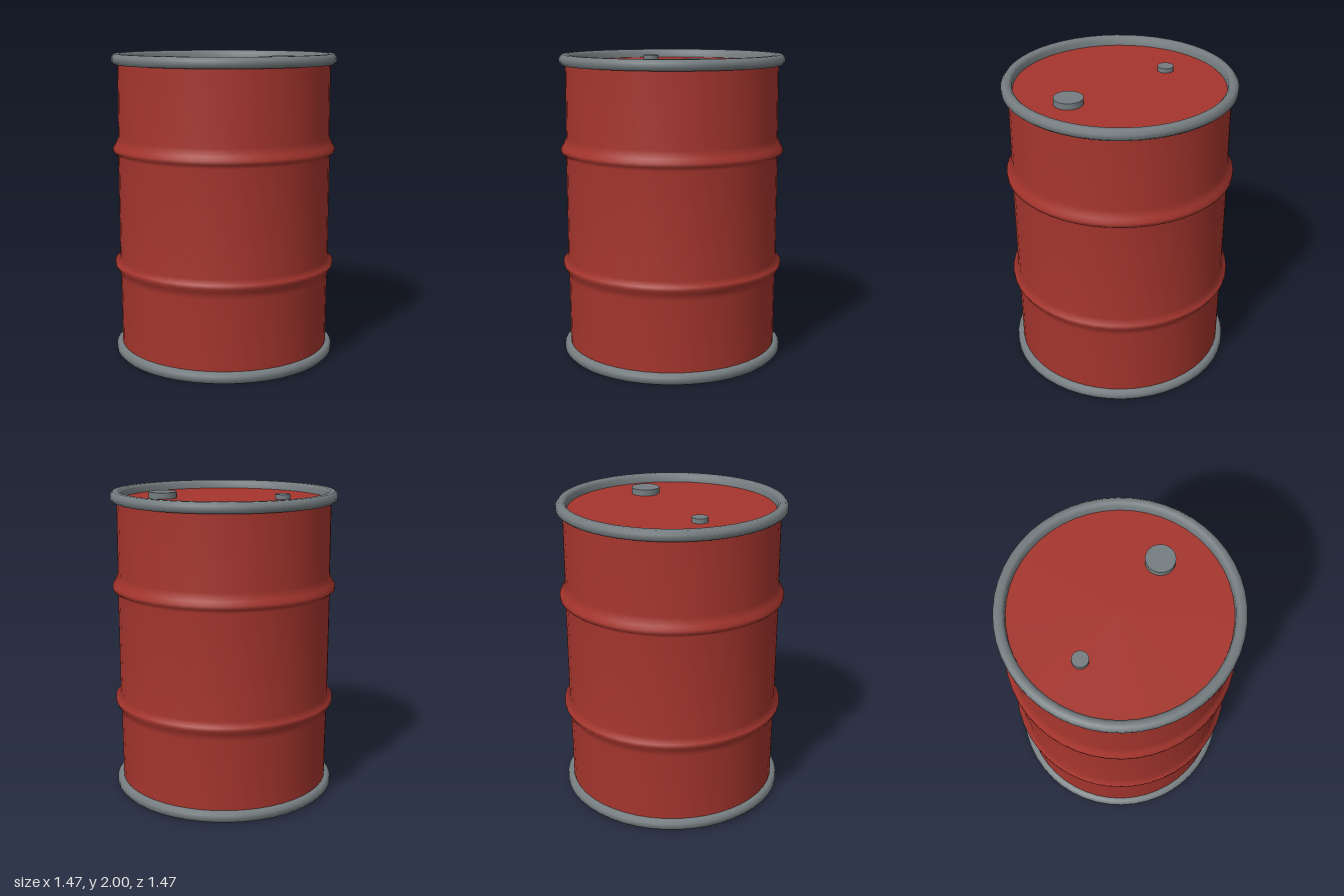
import * as THREE from 'three';

const SEGMENTS = 48;
const red = new THREE.MeshStandardMaterial({ color: 0xa5352d });
const steel = new THREE.MeshStandardMaterial({ color: 0x757d80 });

function add(parent, name, geometry, material, x = 0, y = 0, z = 0) {
  const mesh = new THREE.Mesh(geometry, material);
  mesh.name = name;
  mesh.position.set(x, y, z);
  parent.add(mesh);
  return mesh;
}

const lathe = (profile) =>
  new THREE.LatheGeometry(profile.map(([r, y]) => new THREE.Vector2(r, y)), SEGMENTS);

// Reflects a profile about mid height, keeping its faces outward
const mirrored = (profile) => profile.map(([r, y]) => [r, 2 - y]).reverse();

export function createModel() {
  const drum = new THREE.Group();
  drum.name = 'drum';

  // Side wall with two rolled ribs
  const upperHalf = [
    [0.70, 1.34], [0.733, 1.368], [0.733, 1.392], [0.718, 1.415], [0.697, 1.465], [0.694, 1.95],
  ];
  add(drum, 'wall', lathe([...mirrored(upperHalf), ...upperHalf]), red);

  // Recessed end plates
  const plate = new THREE.CircleGeometry(0.69, SEGMENTS);
  add(drum, 'lid', plate, red, 0, 1.945).rotation.x = -Math.PI / 2;
  add(drum, 'base', plate, red, 0, 0.055).rotation.x = Math.PI / 2;

  // Rolled rims
  const rim = [
    [0.69, 1.93], [0.716, 1.932], [0.734, 1.948], [0.735, 1.978], [0.717, 2],
    [0.685, 2], [0.668, 1.982], [0.665, 1.94],
  ];
  add(drum, 'topRim', lathe(rim), steel);
  add(drum, 'bottomRim', lathe(mirrored(rim)), steel);

  // Filler caps on the lid
  const caps = [['largeCap', 0.4, 0.092, 0.04], ['smallCap', -0.38, 0.051, 0.03]];
  for (const [name, x, radius, height] of caps) {
    add(drum, name, new THREE.CylinderGeometry(radius, radius, height, 32), steel, x, 1.945 + height / 2);
  }
  return drum;
}
